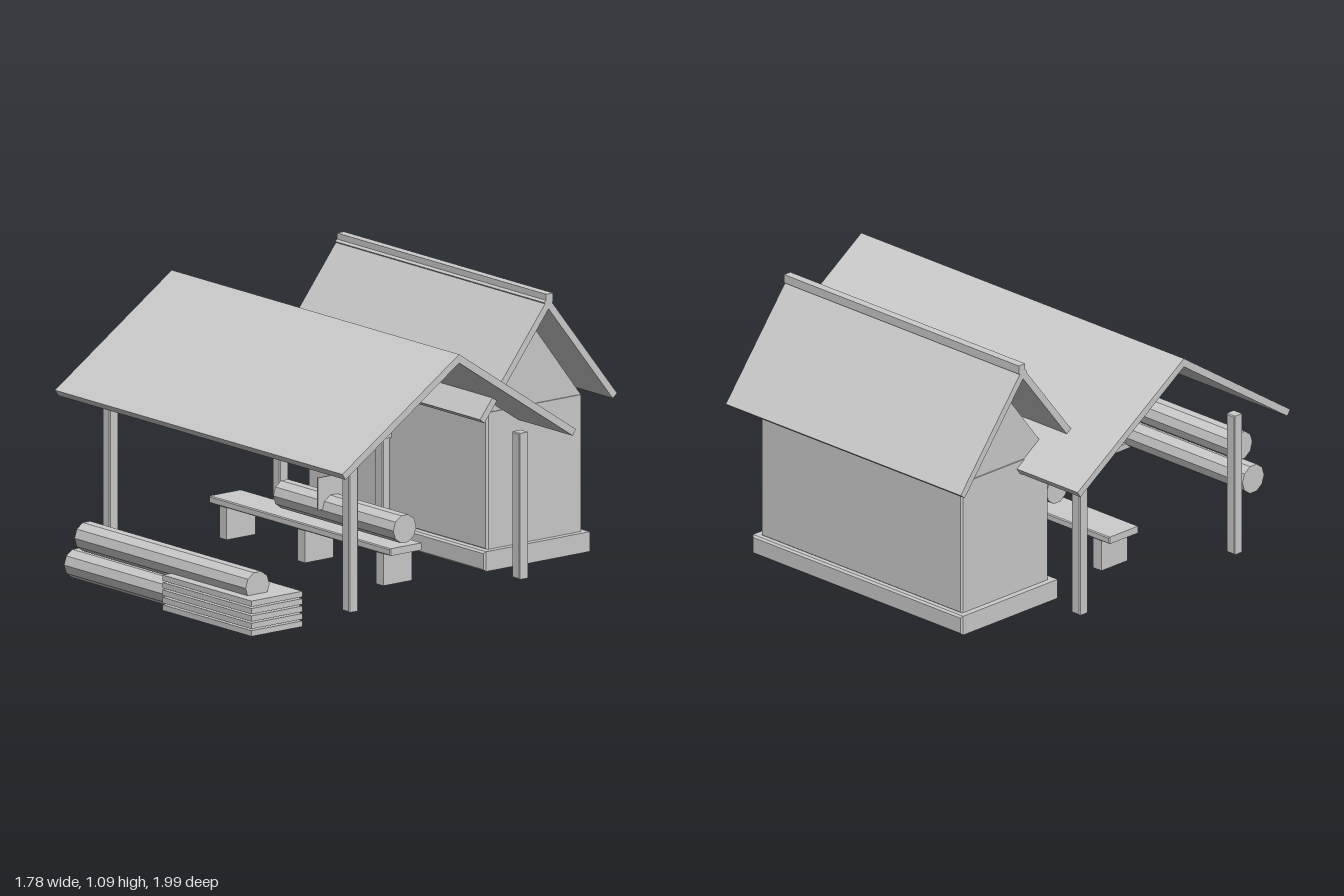
import * as THREE from 'three';

export function createModel() {
  const model = new THREE.Group();
  const grey = new THREE.MeshStandardMaterial({ color: 0xcccccc });
  grey.name = 'plainGrey';

  const add = (name, geometry, x, y, z, parent = model) => {
    const mesh = new THREE.Mesh(geometry, grey);
    mesh.name = name;
    mesh.position.set(x, y, z);
    parent.add(mesh);
    return mesh;
  };
  const group = (name) => {
    const g = new THREE.Group();
    g.name = name;
    model.add(g);
    return g;
  };

  // Box given by its extents, with slightly chamfered edges when c > 0
  const block = (name, [x0, x1], [y0, y1], [z0, z1], c = 0, parent = model) => {
    const w = x1 - x0, h = y1 - y0, d = z1 - z0;
    let geometry;
    if (c > 0) {
      const a = w / 2 - c, b = h / 2 - c;
      const shape = new THREE.Shape([
        new THREE.Vector2(-a, -b), new THREE.Vector2(a, -b),
        new THREE.Vector2(a, b), new THREE.Vector2(-a, b),
      ]);
      geometry = new THREE.ExtrudeGeometry(shape, {
        depth: d - 2 * c, bevelEnabled: true, bevelThickness: c, bevelSize: c, bevelSegments: 1,
      });
      geometry.translate(0, 0, -(d / 2 - c));
    } else {
      geometry = new THREE.BoxGeometry(w, h, d);
    }
    return add(name, geometry, (x0 + x1) / 2, (y0 + y1) / 2, (z0 + z1) / 2, parent);
  };

  // Pair of sloping slabs meeting at a ridge; (run, drop) is the outer slope
  const gableRoof = (parent, halfWidth, ridgeY, ridgeZ, run, drop, t) => {
    const length = Math.hypot(run, drop);
    const angle = Math.atan2(drop, run);
    for (const side of [1, -1]) {
      const slab = add(side > 0 ? 'frontRoofSlope' : 'backRoofSlope',
        new THREE.BoxGeometry(halfWidth * 2, t, length),
        0,
        ridgeY - drop / 2 - Math.cos(angle) * t / 2,
        ridgeZ + side * (run / 2 - Math.sin(angle) * t / 2),
        parent);
      slab.rotation.x = side * angle;
    }
  };

  // Ten-sided log lying along x
  const log = (name, x0, x1, y, z, r, parent) => {
    const geometry = new THREE.CylinderGeometry(r, r, x1 - x0, 10).toNonIndexed();
    geometry.rotateZ(Math.PI / 2);
    geometry.computeVertexNormals();
    add(name, geometry, (x0 + x1) / 2, y, z, parent);
  };

  // Open shed: roof on four posts
  const shed = group('openShed');
  gableRoof(shed, 0.89, 0.998, 0, 0.588, 0.392, 0.029);
  for (const x of [-0.742, 0.742]) {
    for (const z of [-0.428, 0.428]) {
      block('shedPost', [x - 0.023, x + 0.023], [0.005, 0.593], [z - 0.023, z + 0.023], 0.004, shed);
    }
  }

  // House body, foundation and steep roof
  const house = group('house');
  block('foundation', [-0.58, 0.58], [0.005, 0.085], [-0.918, -0.38], 0.008, house);
  block('walls', [-0.555, 0.555], [0.08, 0.635], [-0.893, -0.412], 0.008, house);
  gableRoof(house, 0.648, 1.08, -0.647, 0.345, 0.438, 0.028);
  block('ridgeCap', [-0.648, 0.648], [1.06, 1.095], [-0.67, -0.635], 0, house);

  // Triangular gable panels at both ends
  const gable = new THREE.Shape([
    new THREE.Vector2(-0.237, 0), new THREE.Vector2(0.237, 0), new THREE.Vector2(0, 0.308),
  ]);
  const gableGeometry = new THREE.ExtrudeGeometry(gable, { depth: 0.02, bevelEnabled: false });
  gableGeometry.translate(0, 0, -0.01);
  gableGeometry.rotateY(Math.PI / 2);
  for (const x of [-0.54, 0.54]) add('gablePanel', gableGeometry, x, 0.634, -0.652, house);

  // Doorway with jambs, lintel and step
  const doorway = group('doorway');
  block('door', [-0.31, -0.1], [0.03, 0.41], [-0.42, -0.4], 0.004, doorway);
  for (const x of [-0.333, -0.073]) {
    block('doorJamb', [x - 0.025, x + 0.025], [0.03, 0.425], [-0.42, -0.378], 0.004, doorway);
  }
  block('lintel', [-0.37, -0.036], [0.423, 0.483], [-0.42, -0.37], 0.004, doorway);
  block('doorStep', [-0.4, -0.01], [0.005, 0.032], [-0.4, -0.292], 0.004, doorway);

  // Saw bench with three legs, a log and the blade
  const bench = group('sawBench');
  block('benchTop', [-0.56, 0.56], [0.136, 0.165], [-0.083, 0.08], 0.004, bench);
  for (const x of [-0.485, 0, 0.485]) {
    block('benchLeg', [x - 0.023, x + 0.023], [0.005, 0.138], [-0.073, 0.071], 0, bench);
  }
  log('benchLog', -0.19, 0.553, 0.232, 0, 0.058, bench);
  block('sawBlade', [0.107, 0.114], [0.235, 0.365], [-0.084, 0.08], 0, bench);

  // Two stacked logs and a pile of boards in front of the shed
  const timber = group('timberPile');
  log('lowerLog', -0.37, 0.69, 0.06, 0.905, 0.06, timber);
  log('upperLog', -0.305, 0.755, 0.18, 0.905, 0.06, timber);
  for (let i = 0; i < 5; i++) {
    const y = 0.007 + i * 0.0298;
    block('board', [0.28, 0.832], [y, y + 0.023], [0.742, 0.998], 0, timber);
  }

  return model;
}
